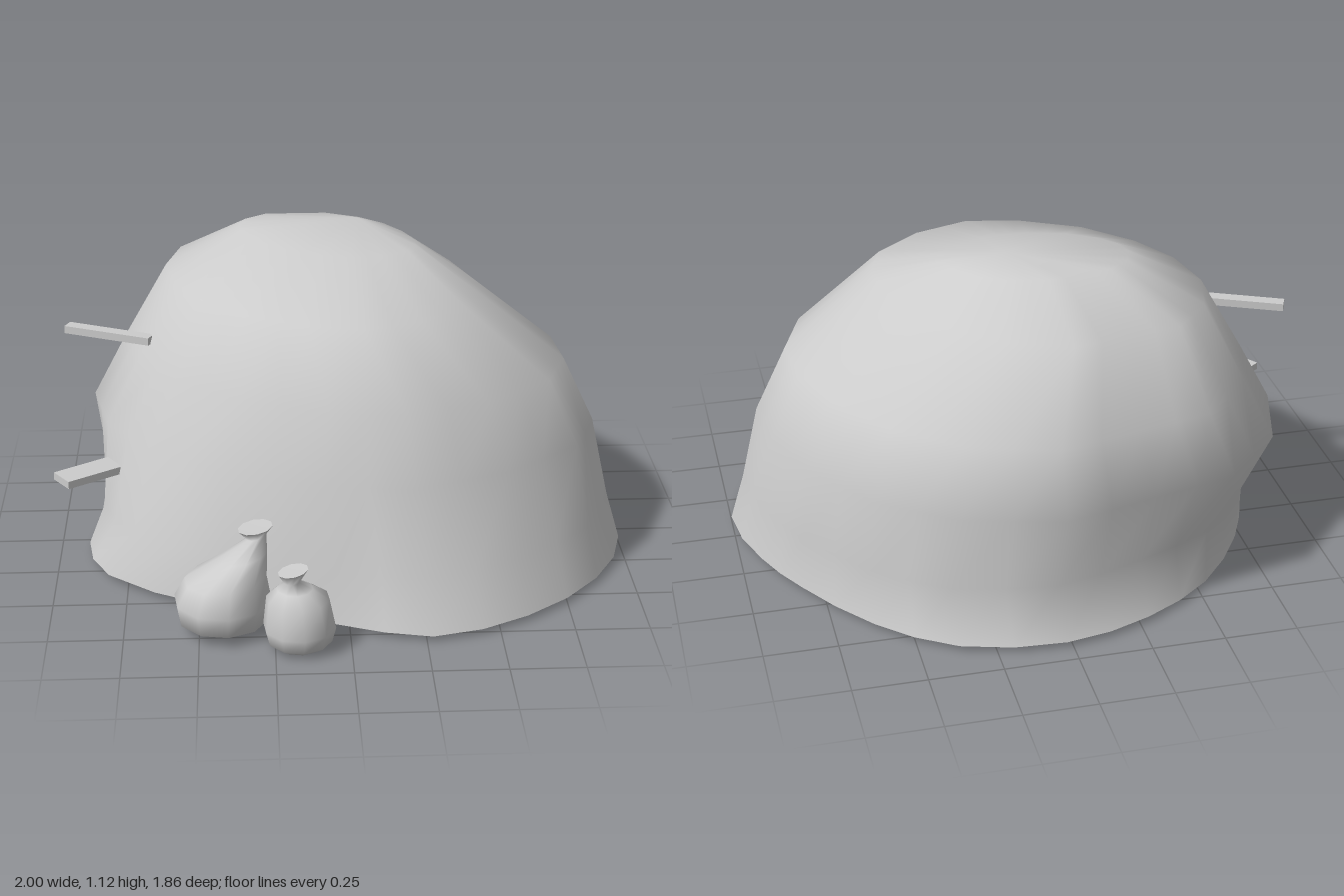
import * as THREE from 'three';

// Skin a list of equal-length rings, ordered bottom to top
function loft(rings) {
  const n = rings[0].length, index = [];
  for (let j = 0; j < rings.length - 1; j++) {
    for (let i = 0; i < n; i++) {
      const k = (i + 1) % n;
      const a = j * n + i, b = j * n + k, c = a + n, d = b + n;
      index.push(a, c, b, b, c, d);
    }
  }
  const g = new THREE.BufferGeometry();
  g.setAttribute('position', new THREE.Float32BufferAttribute(rings.flat(2), 3));
  g.setIndex(index);
  g.computeVertexNormals();
  // collapsed rings: give every copy of the tip the same averaged normal
  const nor = g.attributes.normal;
  rings.forEach((r, j) => {
    if (r.some((p) => p[0] !== r[0][0] || p[2] !== r[0][2])) return;
    const v = new THREE.Vector3();
    for (let i = 0; i < n; i++) v.add(new THREE.Vector3().fromBufferAttribute(nor, j * n + i));
    v.normalize();
    for (let i = 0; i < n; i++) nor.setXYZ(j * n + i, v.x, v.y, v.z);
  });
  return g;
}

// Outlines of the mound (x, z), from the -x side round the back
const BASE_POINTS = [
  [-0.82, -0.2], [-0.72, -0.44], [-0.53, -0.69], [-0.28, -0.85], [0.02, -0.93], [0.37, -0.87],
  [0.62, -0.68], [0.82, -0.41], [0.93, -0.2], [1, 0.1], [0.87, 0.42], [0.6, 0.68],
  [0.27, 0.81], [-0.05, 0.71], [-0.45, 0.57], [-0.82, 0.32], [-0.9, 0.06],
];
const WAIST_POINTS = [
  [-0.88, -0.26], [-0.8, -0.54], [-0.59, -0.76], [-0.3, -0.83], [0.02, -0.91], [0.36, -0.82],
  [0.6, -0.65], [0.78, -0.4], [0.87, -0.17], [0.89, 0.06], [0.8, 0.29], [0.54, 0.5],
  [0.22, 0.62], [-0.08, 0.59], [-0.42, 0.46], [-0.67, 0.25], [-0.82, 0.02],
];
const mid = (p, q) => [(p[0] + q[0]) / 2, (p[1] + q[1]) / 2];

// Rounded foot and faceted waist, both with a point added on every side
const footCurve = new THREE.CatmullRomCurve3(
  BASE_POINTS.map(([x, z]) => new THREE.Vector3(x, 0, z)), true);
const BASE = Array.from({ length: 34 }, (_, i) => {
  const p = footCurve.getPoint(i / 34);
  return [p.x, p.z];
});
const WAIST = WAIST_POINTS.flatMap((p, i) => [p, mid(p, WAIST_POINTS[(i + 1) % 17])]);
const SHIN = BASE.map((p, i) => mid(p, WAIST[i]));

// Outline refitted to given x and z limits, skewed along z and tilted in height
function fit(outline, y, x0, x1, z0, z1, skew = 0, tiltX = 0, tiltZ = 0) {
  const xs = outline.map((p) => p[0]), zs = outline.map((p) => p[1]);
  const xa = Math.min(...xs), xb = Math.max(...xs), za = Math.min(...zs), zb = Math.max(...zs);
  return outline.map(([px, pz]) => {
    const x = THREE.MathUtils.mapLinear(px, xa, xb, x0, x1);
    const z = THREE.MathUtils.mapLinear(pz, za, zb, z0, z1);
    const dx = x - (x0 + x1) / 2, dz = z - (z0 + z1) / 2;
    return [x, y + tiltX * dx + tiltZ * dz, z + skew * dx];
  });
}

// Sack ring: [y, centre x, centre z, radius, tilt of the ring towards +x]
function sackRing([y, cx, cz, r, tilt = 0]) {
  return Array.from({ length: 10 }, (_, i) => {
    const a = (i / 10) * Math.PI * 2 + 0.2;
    return [cx - Math.cos(a) * r, y - Math.cos(a) * r * tilt, cz - Math.sin(a) * r];
  });
}

export function createModel() {
  const model = new THREE.Group();
  const grey = new THREE.MeshStandardMaterial({ color: 0xcccccc, side: THREE.DoubleSide });
  const add = (name, geometry) => {
    const mesh = new THREE.Mesh(geometry, grey);
    mesh.name = name;
    model.add(mesh);
    return mesh;
  };

  // Hollow mound, flared at the foot and open below
  add('mound', loft([
    BASE.map(([x, z]) => [x, 0.02, z]),
    fit(SHIN, 0.19, -0.84, 0.95, -0.85, 0.735, -0.03),
    fit(WAIST, 0.47, -0.88, 0.89, -0.91, 0.63),
    fit(WAIST, 0.7, -0.755, 0.78, -0.85, 0.55, 0.03),
    fit(WAIST, 0.955, -0.61, 0.47, -0.66, 0.4, 0.1, 0, -0.01),
    fit(WAIST, 1.08, -0.35, 0.27, -0.42, 0.01, 0.1, -0.04, -0.05),
    fit(WAIST, 1.125, 0.07, 0.07, -0.25, -0.25),
  ]));

  // Tied sacks leaning at the foot of the mound
  const sacks = {
    largeSack: [
      [0.01, -0.42, 0.675, 0], [0.012, -0.42, 0.675, 0.1], [0.04, -0.42, 0.675, 0.152],
      [0.11, -0.42, 0.675, 0.165], [0.19, -0.41, 0.675, 0.138, 0.1], [0.265, -0.35, 0.67, 0.08, 0.2],
      [0.33, -0.305, 0.665, 0.032, 0.3], [0.362, -0.31, 0.665, 0.058, 0.15],
      [0.362, -0.31, 0.665, 0.058, 0.15], [0.36, -0.31, 0.665, 0],
    ],
    smallSack: [
      [0, -0.17, 0.81, 0], [0.003, -0.17, 0.81, 0.075], [0.025, -0.17, 0.81, 0.108],
      [0.075, -0.17, 0.812, 0.121], [0.175, -0.175, 0.81, 0.105], [0.21, -0.185, 0.81, 0.06],
      [0.233, -0.195, 0.81, 0.026], [0.273, -0.19, 0.81, 0.05, 0.2],
      [0.273, -0.19, 0.81, 0.05, 0.2], [0.272, -0.19, 0.81, 0],
    ],
  };
  for (const [name, rows] of Object.entries(sacks)) add(name, loft(rows.map(sackRing)));

  // Planks sticking out of the side
  const planks = [
    ['upperPlank', 0.33, 0.045, [-0.81, 0.765, -0.08], -0.43],
    ['lowerPlank', 0.32, 0.1, [-0.843, 0.343, 0.141], 0.6],
  ];
  for (const [name, length, width, position, turn] of planks) {
    const plank = add(name, new THREE.BoxGeometry(length, 0.027, width));
    plank.position.set(...position);
    plank.rotation.y = turn;
  }

  return model;
}
